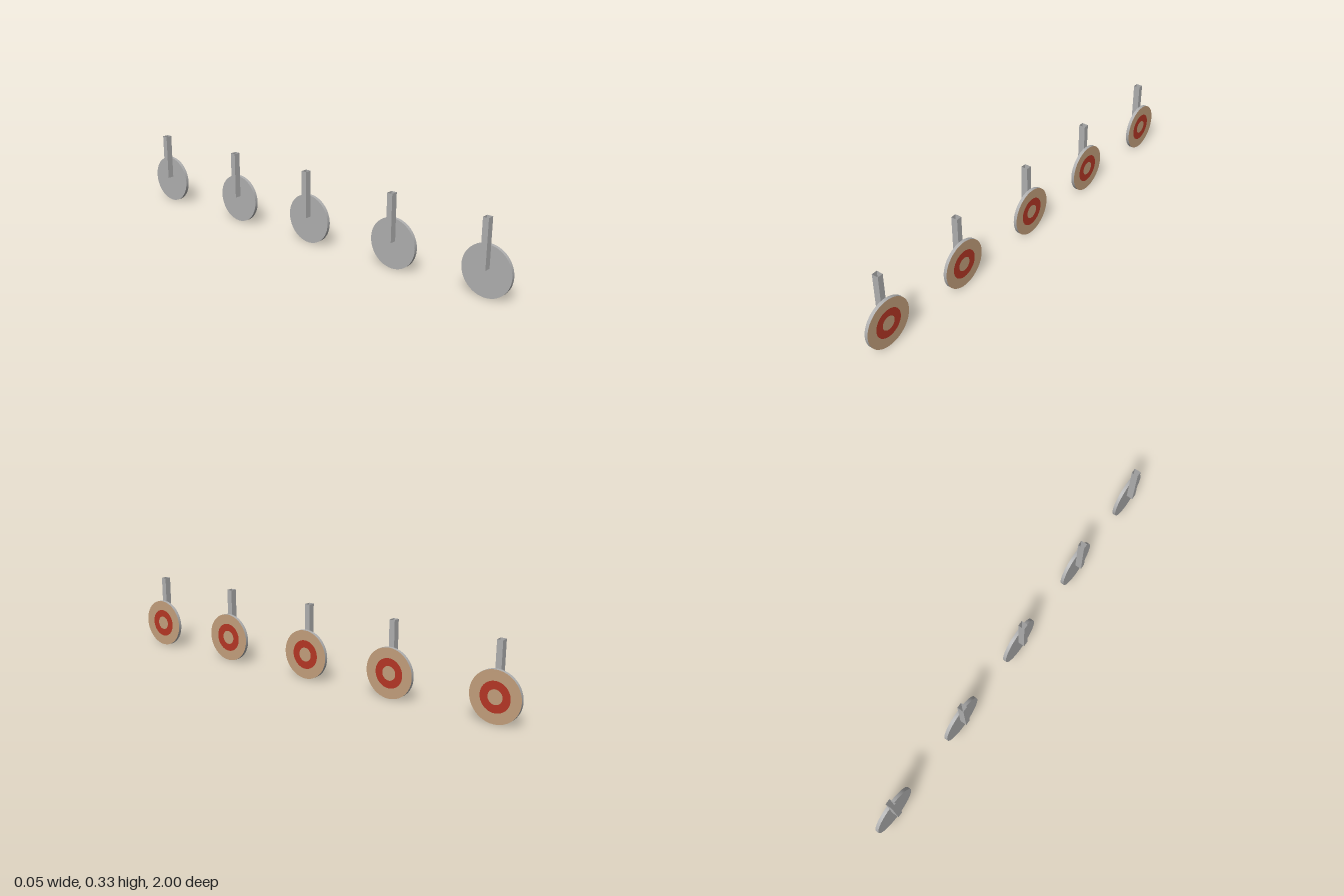
import * as THREE from 'three';

const RADIUS = 0.1085;
const FACE_X = 0.0225;
const BACK_X = 0.0075;
const SIDES = 48;
const POSITIONS = [0.8915, 0.46, 0.01, -0.42, -0.8915];

export function createModel() {
  const grey = new THREE.MeshStandardMaterial({ name: 'grey metal', color: 0xb0b0b0, side: THREE.DoubleSide });
  const tan = new THREE.MeshStandardMaterial({ name: 'tan wood', color: 0xc4a07c });
  const red = new THREE.MeshStandardMaterial({ name: 'red paint', color: 0xb63725 });

  // Disc rim and back, with the axis along x
  const rim = new THREE.CylinderGeometry(RADIUS, RADIUS, FACE_X - BACK_X, SIDES, 1, true);
  rim.rotateZ(-Math.PI / 2).translate((FACE_X + BACK_X) / 2, RADIUS, 0);
  const back = new THREE.CircleGeometry(RADIUS, SIDES);
  back.rotateY(-Math.PI / 2).translate(BACK_X, RADIUS, 0);

  // Concentric bands of the face, side by side in one plane
  const toFace = (g) => g.rotateY(Math.PI / 2).translate(FACE_X, RADIUS, 0);
  const outerBand = toFace(new THREE.RingGeometry(0.064, RADIUS, SIDES));
  const redBand = toFace(new THREE.RingGeometry(0.031, 0.064, SIDES));
  const bullseye = toFace(new THREE.CircleGeometry(0.031, SIDES));

  // Hanging post: a hollow box, open at the top
  const post = new THREE.BoxGeometry(0.03, 0.207, 0.025);
  const index = Array.from(post.index.array);
  index.splice(12, 6);
  post.setIndex(index);
  post.clearGroups();
  post.translate(-0.0075, 0.2255, 0);

  const parts = [
    ['discRim', rim, grey],
    ['discBack', back, grey],
    ['outerBand', outerBand, tan],
    ['redBand', redBand, red],
    ['bullseye', bullseye, tan],
    ['post', post, grey],
  ];

  // Row of five targets
  const model = new THREE.Group();
  model.name = 'targetRow';
  POSITIONS.forEach((z, i) => {
    const target = new THREE.Group();
    target.name = `target${i + 1}`;
    for (const [name, geometry, material] of parts) {
      const mesh = new THREE.Mesh(geometry, material);
      mesh.name = name;
      target.add(mesh);
    }
    target.position.z = z;
    model.add(target);
  });
  return model;
}
